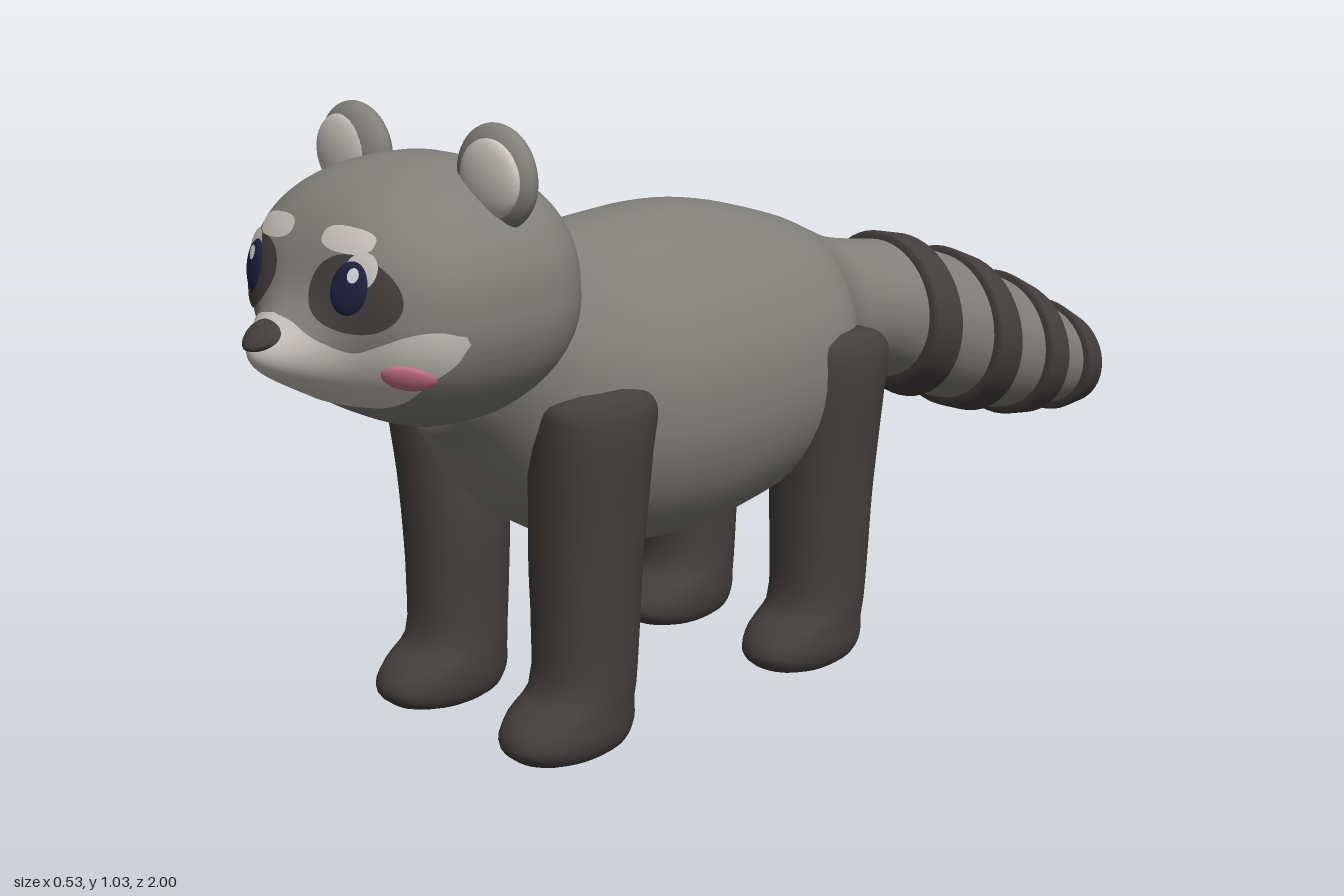
import * as THREE from 'three';

const paint = (name, color) => {
  const m = new THREE.MeshStandardMaterial({ color });
  m.name = name;
  return m;
};

// Point on a unit superellipse of power p
function unit(angle, p) {
  const c = Math.cos(angle), s = Math.sin(angle);
  const k = Math.pow(Math.abs(c) ** p + Math.abs(s) ** p, -1 / p);
  return [c * k, s * k];
}

const ring = (n, p, place) =>
  Array.from({ length: n }, (_, i) => place(...unit((i / n) * Math.PI * 2, p)));

// Closed skin over rings of [x, y, z] points, capped at both ends
function loft(rings) {
  const n = rings[0].length, last = (rings.length - 1) * n;
  const pts = rings.flat(), index = [];
  const centre = r => [0, 1, 2].map(k => r.reduce((t, q) => t + q[k], 0) / n);
  const a = pts.push(centre(rings[0])) - 1;
  const b = pts.push(centre(rings[rings.length - 1])) - 1;
  for (let i = 0; i < n; i++) {
    const j = (i + 1) % n;
    for (let r = 0; r < last; r += n) index.push(r + i, r + j, r + n + i, r + j, r + n + j, r + n + i);
    index.push(a, j, i, b, last + i, last + j);
  }
  // Turn the faces outward if the enclosed volume is negative
  let volume = 0;
  const [u, v, w] = [0, 1, 2].map(() => new THREE.Vector3());
  for (let i = 0; i < index.length; i += 3) {
    u.fromArray(pts[index[i]]); v.fromArray(pts[index[i + 1]]); w.fromArray(pts[index[i + 2]]);
    volume += u.dot(v.cross(w));
  }
  if (volume < 0) index.reverse();
  return finish(pts, index);
}

function finish(pts, index) {
  const g = new THREE.BufferGeometry();
  g.setAttribute('position', new THREE.Float32BufferAttribute(pts.flat(), 3));
  g.setIndex(index);
  g.computeVertexNormals();
  return g;
}

// Smooth lookup in rows keyed by their first number (cubic Hermite)
function sample(rows, t) {
  let i = 0;
  while (i < rows.length - 2 && t > rows[i + 1][0]) i++;
  const p = rows[i], q = rows[i + 1], o = rows[i - 1] || p, e = rows[i + 2] || q;
  const h = q[0] - p[0], f = Math.min(1, Math.max(0, (t - p[0]) / h));
  return p.slice(1).map((_, k0) => {
    const k = k0 + 1;
    const m0 = (q[k] - o[k]) / (q[0] - o[0]) * h, m1 = (e[k] - p[k]) / (e[0] - p[0]) * h;
    const f2 = f * f, f3 = f2 * f;
    return (2 * f3 - 3 * f2 + 1) * p[k] + (f3 - 2 * f2 + f) * m0 + (3 * f2 - 2 * f3) * q[k] + (f3 - f2) * m1;
  });
}

// Split every interval of a row table into smooth steps
const steps = (rows, k) => rows.flatMap((r, i) => i === rows.length - 1 ? [r[0]] :
  Array.from({ length: k }, (_, j) => r[0] + (rows[i + 1][0] - r[0]) * j / k));

// Body and tail: z, top, bottom, half width
const BODY = [
  [-1, .37, .33, .02], [-.99, .41, .295, .06], [-.97, .435, .275, .085], [-.9, .475, .272, .105],
  [-.77, .545, .29, .125], [-.68, .585, .305, .134], [-.6, .62, .335, .136], [-.5, .655, .365, .136],
  [-.42, .68, .40, .135], [-.32, .695, .45, .12], [-.22, .715, .455, .115], [-.15, .745, .42, .15],
  [-.08, .775, .35, .215], [0, .80, .30, .243], [.1, .825, .275, .254], [.2, .835, .26, .255],
  [.3, .83, .265, .25], [.4, .825, .285, .236], [.48, .84, .32, .235], [.55, .87, .37, .225],
  [.6, .88, .43, .2], [.65, .86, .5, .17], [.7, .82, .54, .12]];

function bodyRing(z, grow = 0) {
  const [top, bot, w] = sample(BODY, z);
  return ring(48, 2, (c, s) => [c * (w + grow), (top + bot) / 2 + s * ((top - bot) / 2 + grow), z]);
}

// Leg: y, inner x, outer x, back z, front z
const LEG = [
  [0, .11, .215, .47, .61], [.012, .095, .23, .445, .65], [.04, .085, .24, .43, .67],
  [.075, .083, .24, .43, .65], [.11, .085, .241, .43, .602], [.2, .083, .245, .425, .592],
  [.3, .08, .25, .42, .593], [.4, .085, .257, .412, .597], [.5, .1, .265, .405, .605],
  [.56, .13, .265, .4, .607], [.59, .16, .255, .42, .6], [.605, .19, .235, .46, .56]];

const leg = (side, dz) => loft(steps(LEG, 3).map(y => {
  const [x0, x1, z0, z1] = sample(LEG, y);
  return ring(32, 2.4, (c, s) =>
    [side * ((x0 + x1) / 2 + c * (x1 - x0) / 2), y, (z0 + z1) / 2 + s * (z1 - z0) / 2 + dz]);
}));

// Head: rounded box-like ball with a snout bump
const H = { y: .76, z: .68, rx: .25, ry: .21, front: .23, back: .19, p: 2.8 };
const snout = (x, y) => .09 * Math.exp(-((x / .08) ** 2) - ((y - .7) / .07) ** 2);

function headGeometry() {
  const rings = [];
  for (let i = 1; i < 64; i++) {
    const a = -Math.PI / 2 + (i / 64) * Math.PI, v = Math.sin(a), r = Math.cos(a);
    const y = H.y + H.ry * (v > 0 ? v ** .8 : v);
    rings.push(ring(96, H.p, (c, s) => {
      const x = H.rx * r * c;
      return [x, y, H.z + (s > 0 ? H.front * r * s + snout(x, y) * Math.min(1, s * 2) : H.back * r * s)];
    }));
  }
  return loft(rings);
}

// Point on the face at x, y, raised a little outward
function onFace(x, y, lift) {
  const d = (y - H.y) / H.ry, v = d > 0 ? d ** 1.25 : -d;
  const r = Math.sqrt(Math.max(0, 1 - v * v));
  const z = H.front * Math.max(0, r ** H.p - Math.abs(x / H.rx) ** H.p) ** (1 / H.p) + snout(x, y);
  const k = 1 + lift / Math.hypot(x, y - H.y, z);
  return [x * k, H.y + (y - H.y) * k, H.z + z * k];
}

// Thin painted patch that follows the face; map(u, v) gives [x, y, lift]
function patch(nu, nv, map) {
  const pts = [], index = [];
  for (let i = 0; i <= nu; i++) for (let j = 0; j <= nv; j++) pts.push(onFace(...map(i / nu, j / nv)));
  for (let i = 0; i < nu; i++) for (let j = 0; j < nv; j++) {
    const a = i * (nv + 1) + j, b = a + nv + 1;
    index.push(a, a + 1, b, b, a + 1, b + 1);
  }
  const g = finish(pts, index), normals = g.attributes.normal;
  let facing = 0;
  for (let i = 0; i < normals.count; i++) facing += normals.getZ(i);
  if (facing < 0) {
    g.setIndex(index.reverse());
    g.computeVertexNormals();
  }
  return g;
}

// Oval patch with an optional domed middle
const oval = (cx, cy, rx, ry, lift, tilt = 0, dome = 0, p = 2) => patch(40, 8, (u, v) => {
  const [c, s] = unit(u * Math.PI * 2, p), x = c * rx * v, y = s * ry * v;
  return [cx + x * Math.cos(tilt) - y * Math.sin(tilt), cy + x * Math.sin(tilt) + y * Math.cos(tilt),
    lift + dome * Math.sqrt(Math.max(0, 1 - v * v))];
});

// Pale muzzle mask edges: |x|, top, bottom
const MASK = [[0, .765, .622], [.04, .757, .62], [.08, .733, .62], [.12, .717, .625],
  [.16, .73, .643], [.2, .747, .675], [.225, .75, .7], [.238, .74, .728]];

export function createModel() {
  const model = new THREE.Group();
  model.name = 'stripedTailAnimal';
  const grey = paint('grey fur', 0x82807a), dark = paint('dark fur', 0x453f3f);
  const pale = paint('pale fur', 0xcbc5be), pink = paint('pink cheek', 0xcc7587);
  const navy = paint('navy eye', 0x1f203e), shine = paint('eye shine', 0xe4e4ea);
  const add = (name, geometry, material) => {
    const mesh = new THREE.Mesh(geometry, material);
    mesh.name = name;
    model.add(mesh);
    return mesh;
  };

  add('bodyAndTail', loft(steps(BODY, 3).map(z => bodyRing(z))), grey);
  add('head', headGeometry(), grey);

  // Raised dark bands round the tail
  [-.415, -.6, -.775, -.935].forEach((z, i) => add('tailBand' + (i + 1), loft(
    [[-.039, -.02], [-.038, .008], [-.031, .016], [.031, .016], [.038, .008], [.039, -.02]]
      .map(([dz, grow]) => bodyRing(z + dz, grow))), dark));

  // Muzzle and nose
  add('muzzleMask', patch(96, 24, (u, v) => {
    const x = (u * 2 - 1) * .238, [top, bot] = sample(MASK, Math.abs(x));
    return [x, bot + (top - bot) * v, .003];
  }), pale);
  add('nose', oval(0, .735, .037, .021, .004, 0, .014), dark);

  for (const side of [1, -1]) {
    const label = side > 0 ? 'left' : 'right';
    add(label + 'FrontLeg', leg(side, 0), dark);
    add(label + 'HindLeg', leg(side, -.55), dark);

    // Ears with pale insides
    const ball = new THREE.SphereGeometry(1, 32, 24);
    const ear = add(label + 'Ear', ball, grey);
    ear.position.set(side * .174, .95, .672);
    ear.scale.set(.084, .08, .035);
    const inner = add(label + 'InnerEar', ball, pale);
    inner.position.set(side * .182, .951, .692);
    inner.scale.set(.066, .06, .018);

    // Face markings and eyes
    add(label + 'EyePatch', oval(side * .118, .8, .075, .053, .005, side * -.25), dark);
    add(label + 'EyeRim', oval(side * .129, .833, .026, .026, .007), pale);
    add(label + 'Eye', oval(side * .116, .809, .03, .037, .008, 0, .006), navy);
    add(label + 'EyeShine', oval(side * .116 + .008, .827, .009, .01, .016), shine);
    add(label + 'Brow', oval(side * .087, .872, .05, .017, .004, side * -.06, 0, 2.6), pale);
    add(label + 'Cheek', oval(side * .176, .681, .028, .021, .005, side * .1, .006), pink);
  }
  return model;
}
